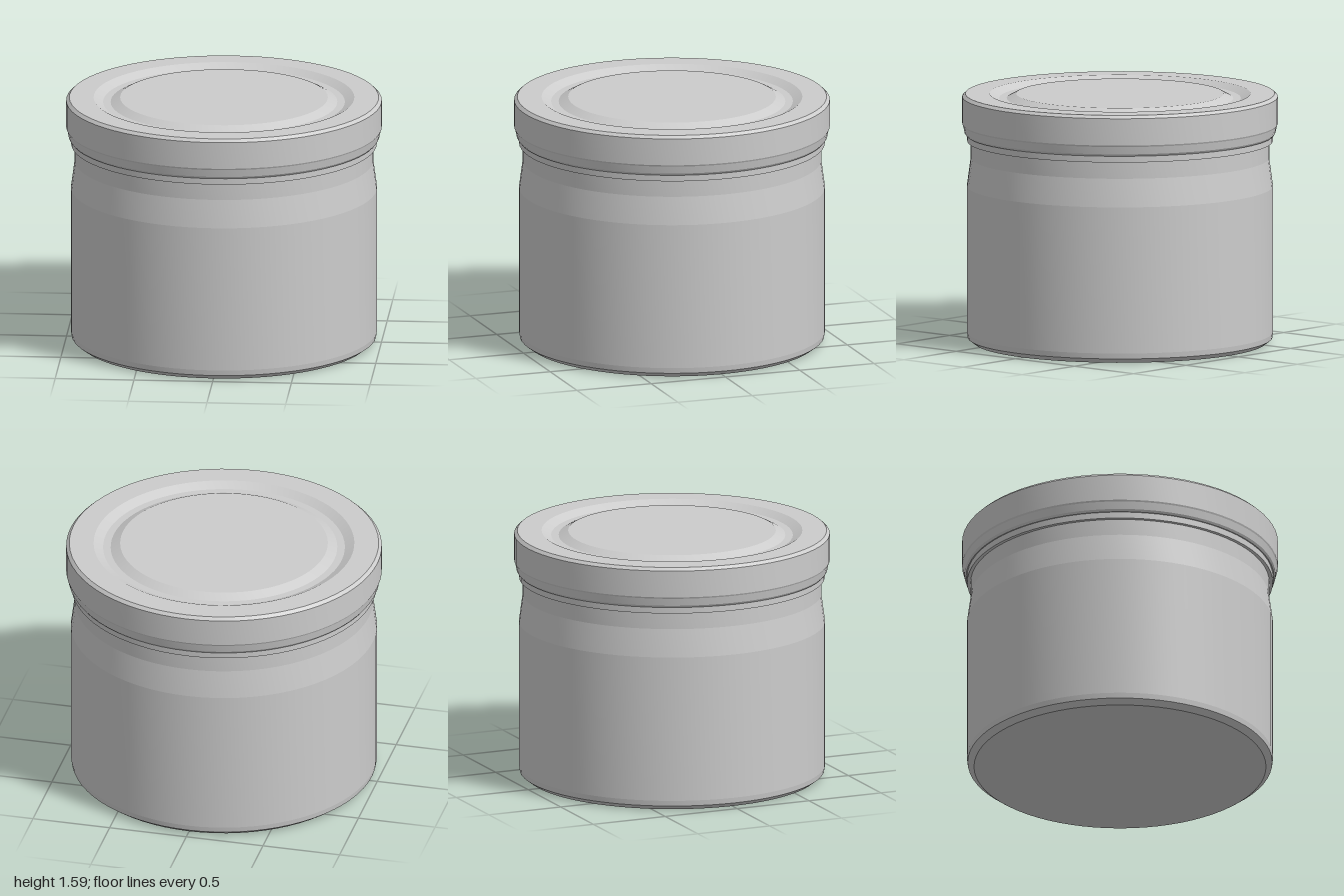
import * as THREE from 'three';
import { toCreasedNormals } from 'three/addons/utils/BufferGeometryUtils.js';

const SEGMENTS = 72;

// Turned part: profile runs from the bottom axis, outward and up, to the top axis.
function turned(name, profile, material) {
  const points = profile.map(([r, y]) => new THREE.Vector2(r, y));
  const geometry = toCreasedNormals(new THREE.LatheGeometry(points, SEGMENTS), 0.11);
  const mesh = new THREE.Mesh(geometry, material);
  mesh.name = name;
  return mesh;
}

export function createModel() {
  const group = new THREE.Group();
  group.name = 'jar';
  const grey = new THREE.MeshStandardMaterial({ color: 0xcccccc });
  grey.name = 'light grey';

  // Body with chamfered foot, straight wall, tapered shoulder and neck flange
  group.add(turned('jarBody', [
    [0, 0], [0.925, 0], [0.965, 0.03], [0.97, 0.065], [0.97, 1.0],
    [0.946, 1.18], [0.946, 1.287], [0.968, 1.287], [0.968, 1.34], [0, 1.34],
  ], grey));

  // Lid with rolled lower edge, chamfered rim and a ring groove in the top
  group.add(turned('lid', [
    [0, 1.328], [0.975, 1.328], [0.985, 1.342], [0.995, 1.39], [1.0, 1.4],
    [1.0, 1.572], [0.98, 1.591],
    [0.826, 1.591], [0.766, 1.561], [0.718, 1.561], [0.658, 1.591], [0, 1.591],
  ], grey));

  return group;
}
